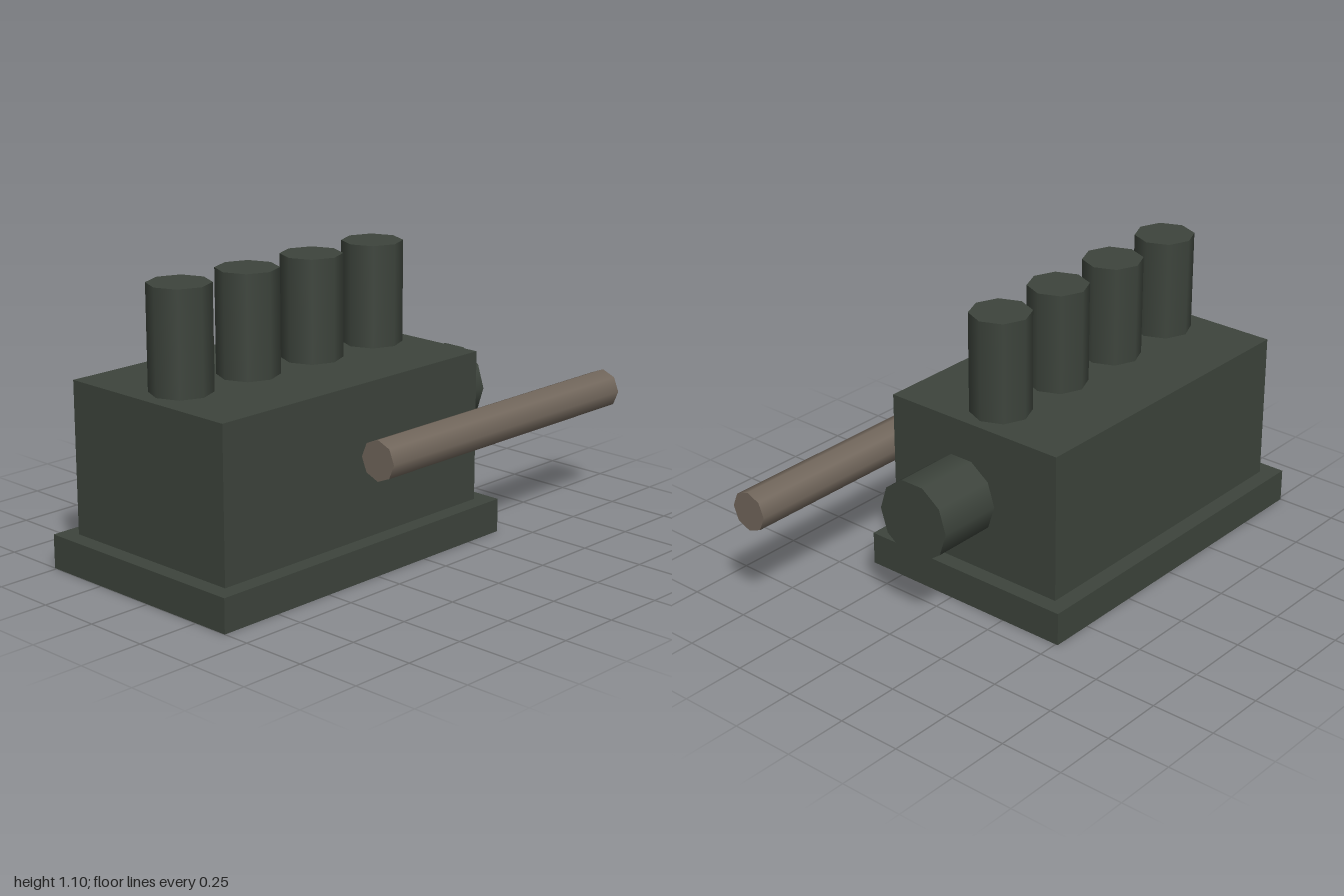
import * as THREE from 'three';

export function createModel() {
  const model = new THREE.Group();
  model.name = 'engineBlock';

  const darkGreen = new THREE.MeshStandardMaterial({ color: 0x3d443c });
  darkGreen.name = 'darkGreen';
  const brown = new THREE.MeshStandardMaterial({ color: 0x72675c });
  brown.name = 'brown';

  const midZ = -0.058;
  const axisY = 0.455;

  function add(name, geometry, material, x, y, z) {
    const mesh = new THREE.Mesh(geometry, material);
    mesh.name = name;
    mesh.position.set(x, y, z);
    model.add(mesh);
  }

  // Cylinder lying along x, with a corner pointing forwards
  function lyingCylinder(radius, length, sides) {
    return new THREE.CylinderGeometry(radius, radius, length, sides).rotateZ(-Math.PI / 2);
  }

  // Base plate and main block
  add('basePlate', new THREE.BoxGeometry(1.417, 0.13, 0.903), darkGreen, -0.2915, 0.065, midZ);
  add('block', new THREE.BoxGeometry(1.29, 0.58, 0.774), darkGreen, -0.291, 0.42, midZ);

  // Row of four upright cylinders
  for (let i = 0; i < 4; i++) {
    add('cylinder' + (i + 1), new THREE.CylinderGeometry(0.116, 0.116, 0.39, 8),
      darkGreen, -0.77 + i * 0.3222, 0.905, midZ);
  }

  // Drum standing off the end of the block
  add('drum', lyingCylinder(0.155, 0.258, 10), darkGreen, 0.545, axisY, midZ);

  // Exhaust pipe along the front
  add('exhaustPipe', lyingCylinder(0.077, 1.294, 8), brown, 0.353, axisY, 0.433);

  return model;
}
